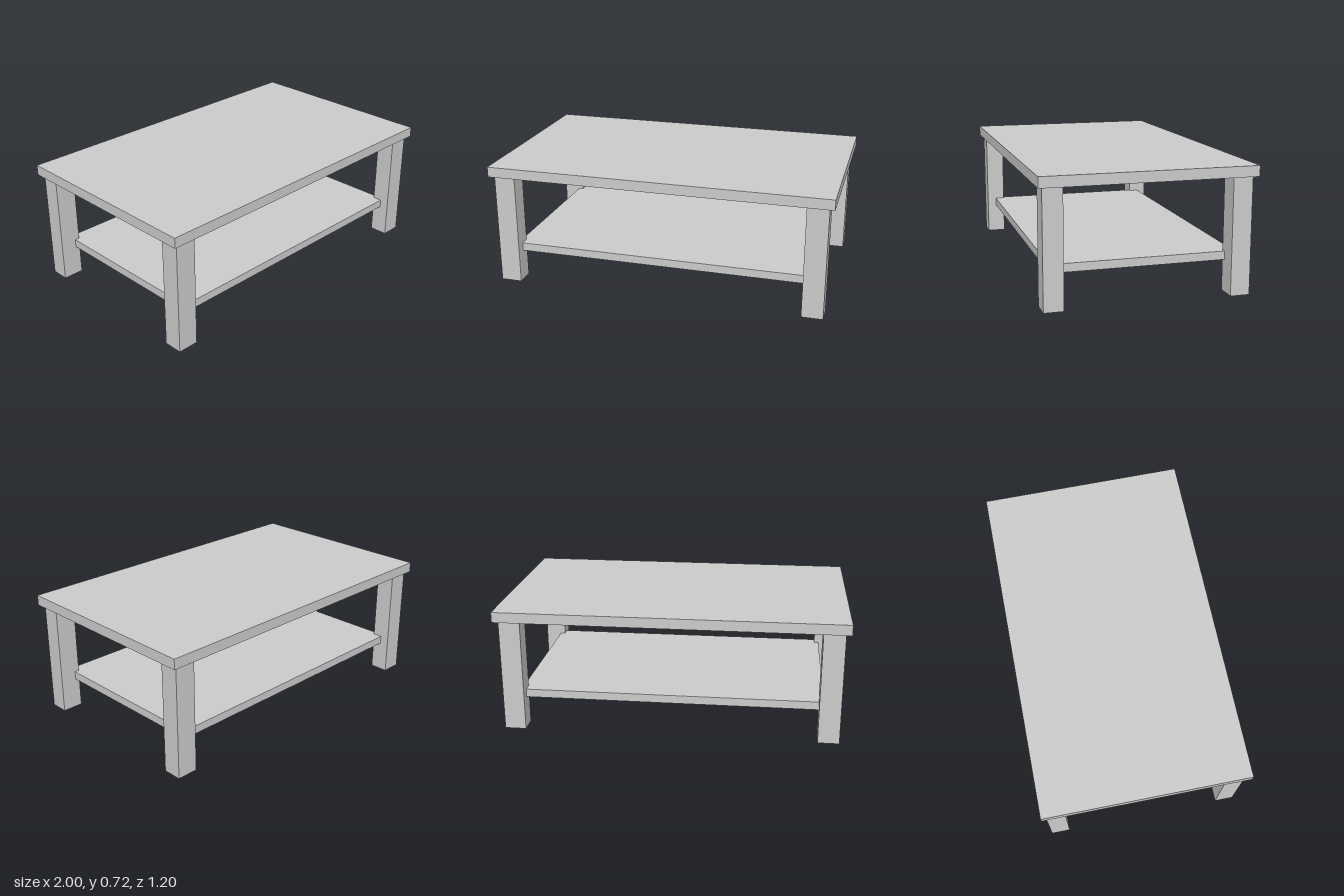
import * as THREE from 'three';

export function createModel() {
  const group = new THREE.Group();
  const material = new THREE.MeshStandardMaterial({ color: 0xcccccc, flatShading: true });

  // Box given by its size, centre in x and z, and the height of its underside
  function addBox(name, [w, h, d], x, bottom, z) {
    const mesh = new THREE.Mesh(new THREE.BoxGeometry(w, h, d), material);
    mesh.name = name;
    mesh.position.set(x, bottom + h / 2, z);
    group.add(mesh);
  }

  // Table top
  addBox('tableTop', [2, 0.06, 1.196], 0, 0.66, 0);

  // Lower shelf, its corners let into the legs
  addBox('lowerShelf', [1.75, 0.048, 1.04], 0, 0.181, 0);

  // Four legs
  for (const [side, sx] of [['Left', 1], ['Right', -1]]) {
    for (const [end, sz] of [['front', 1], ['back', -1]]) {
      addBox(`${end}${side}Leg`, [0.123, 0.66, 0.11], sx * 0.909, 0, sz * 0.519);
    }
  }

  return group;
}
